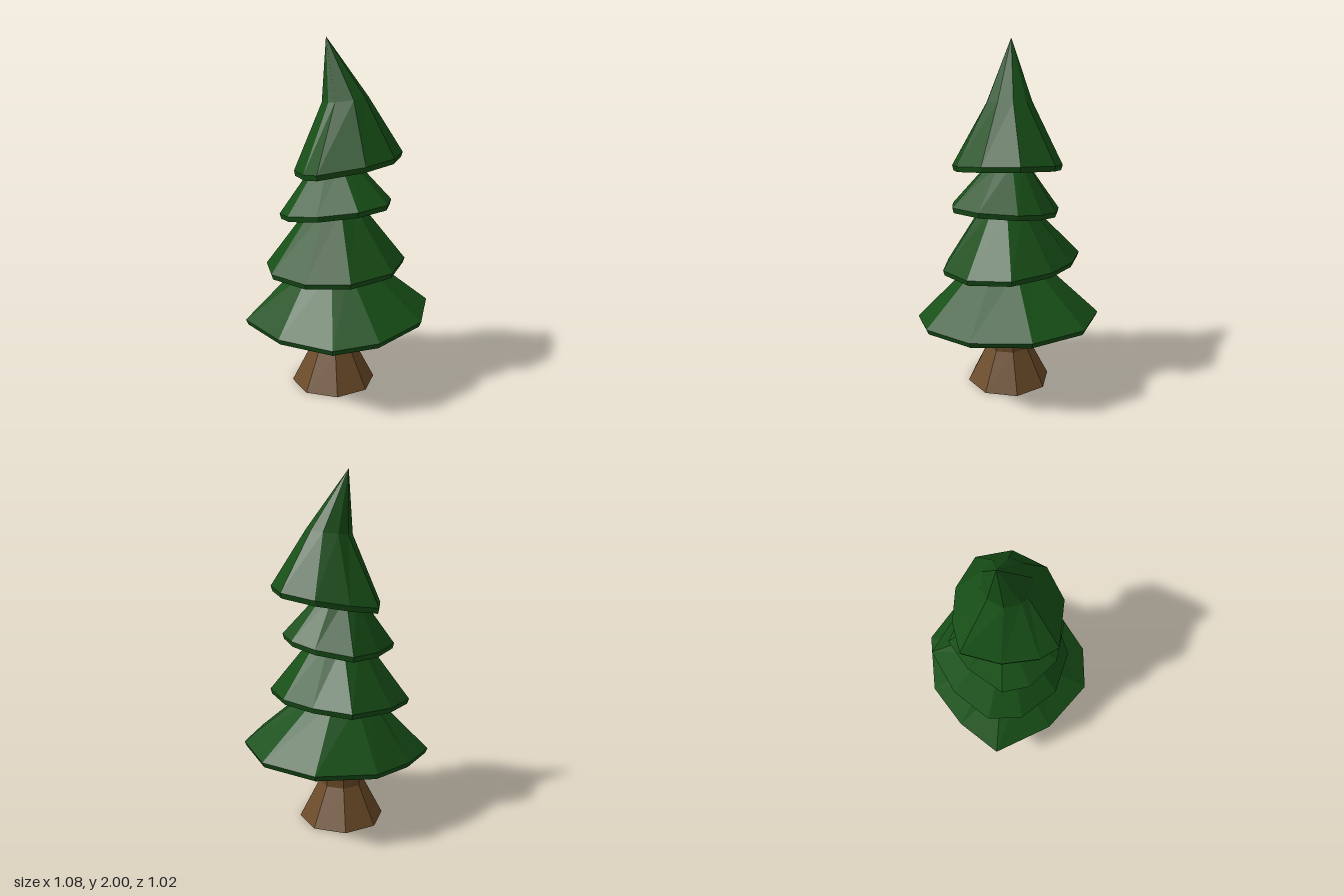
import * as THREE from 'three';

const green = new THREE.MeshStandardMaterial({ color: 0x174f17, flatShading: true });
const brown = new THREE.MeshStandardMaterial({ color: 0x6b4b28, flatShading: true });

// Skin a stack of equal-length rings (bottom to top, counter-clockwise from above) and close both ends.
function loft(name, rings, material) {
  const n = rings[0].length;
  const pos = [], index = [];
  const centre = (ring) => [0, 1, 2].map((k) => ring.reduce((s, p) => s + p[k], 0) / n);
  rings.forEach((ring) => ring.forEach((p) => pos.push(...p)));
  const bottom = rings.length * n, top = bottom + 1, last = (rings.length - 1) * n;
  pos.push(...centre(rings[0]), ...centre(rings[rings.length - 1]));
  for (let i = 0; i < n; i++) {
    const j = (i + 1) % n;
    for (let r = 0; r < last; r += n) index.push(r + i, r + j, r + n + j, r + i, r + n + j, r + n + i);
    index.push(bottom, j, i, top, last + i, last + j);
  }
  const indexed = new THREE.BufferGeometry();
  indexed.setAttribute('position', new THREE.Float32BufferAttribute(pos, 3));
  indexed.setIndex(index);
  const geometry = indexed.toNonIndexed();
  geometry.computeVertexNormals();
  const mesh = new THREE.Mesh(geometry, material);
  mesh.name = name;
  return mesh;
}

// Each tier: irregular rim outline [x, z], rim height and tilt, then round rings [x, y, z, radius, tilt] above it.
const tiers = [
  {
    name: 'bottomBranches', y: 0.44, tilt: [0.08, -0.02],
    rim: [[0.535, -0.03], [0.43, -0.345], [0.16, -0.51], [-0.175, -0.45], [-0.385, -0.26],
      [-0.54, -0.02], [-0.355, 0.3], [-0.08, 0.51], [0.17, 0.485], [0.435, 0.285]],
    rings: [[-0.015, 0.745, -0.01, 0.2, 0.06]],
  },
  {
    name: 'lowerMiddleBranches', y: 0.75, tilt: [0.065, -0.05],
    rim: [[0.38, 0.05], [0.31, -0.19], [0.16, -0.35], [-0.04, -0.45], [-0.27, -0.29],
      [-0.41, -0.075], [-0.385, 0.12], [-0.21, 0.31], [0.03, 0.37], [0.27, 0.27]],
    rings: [[-0.015, 1.08, -0.005, 0.145, 0.06]],
  },
  {
    name: 'upperMiddleBranches', y: 1.075, tilt: [0.11, 0.08],
    rim: [[0.305, 0], [0.26, -0.14], [0.14, -0.255], [-0.06, -0.325], [-0.21, -0.2],
      [-0.33, 0], [-0.29, 0.15], [-0.14, 0.285], [0.075, 0.315], [0.25, 0.2]],
    rings: [[-0.02, 1.33, -0.015, 0.11, 0.1]],
  },
  {
    name: 'crown', y: 1.32, tilt: [0.16, 0.02],
    rim: [[0.365, 0], [0.315, -0.195], [0.14, -0.285], [-0.045, -0.285], [-0.205, -0.23],
      [-0.245, -0.01], [-0.205, 0.19], [-0.14, 0.285], [0.115, 0.295], [0.285, 0.19]],
    rings: [[0.04, 1.67, -0.005, 0.128, 0.12], [-0.06, 2, -0.04, 0.001, 0]],
  },
];

function makeTier({ name, y, tilt, rim, rings }) {
  const edge = (scale, drop) => rim.map(([x, z]) =>
    [x * scale, y - drop + x * tilt[0] + z * tilt[1], z * scale]);
  const mx = rim.reduce((s, p) => s + p[0], 0) / rim.length;
  const mz = rim.reduce((s, p) => s + p[1], 0) / rim.length;
  const upper = rings.map(([cx, cy, cz, r, slope]) => rim.map(([x, z]) => {
    const a = Math.atan2(z - mz, x - mx);
    return [cx + r * Math.cos(a), cy + slope * r * Math.cos(a), cz + r * Math.sin(a)];
  }));
  return loft(name, [edge(0.975, 0.03), edge(1, 0), ...upper], green);
}

export function createModel() {
  const tree = new THREE.Group();
  tree.name = 'pineTree';

  // Eight-sided trunk flaring to the ground
  const trunkRing = ([y, r]) => Array.from({ length: 8 }, (_, i) => {
    const a = (-i * Math.PI) / 4;
    return [-0.026 + r * Math.cos(a), y, -0.02 + r * Math.sin(a)];
  });
  tree.add(loft('trunk', [[0, 0.245], [0.22, 0.132], [0.45, 0.142]].map(trunkRing), brown));

  // Tilted foliage tiers
  tiers.forEach((tier) => tree.add(makeTier(tier)));
  return tree;
}
